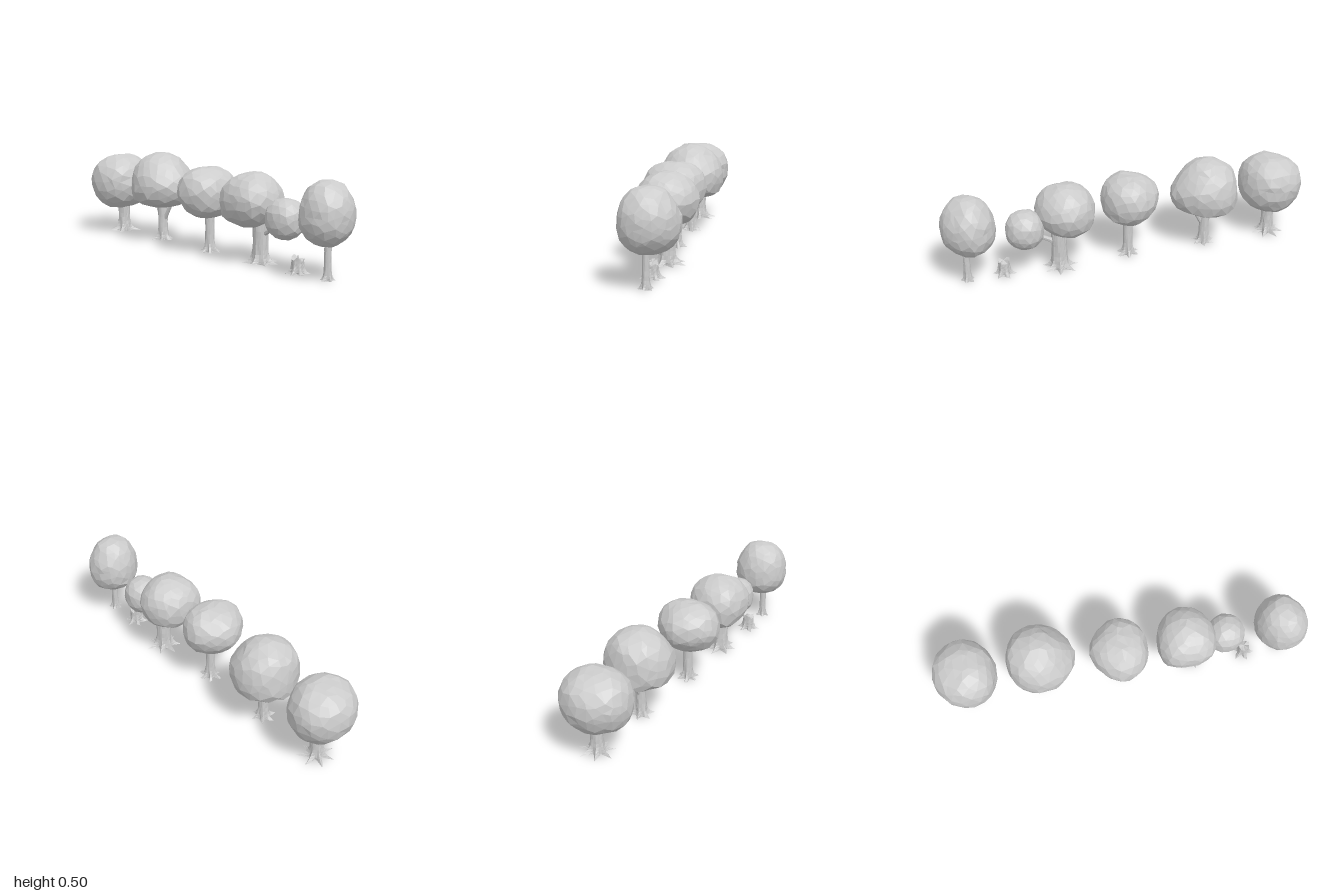
import * as THREE from 'three';

const material = new THREE.MeshStandardMaterial({ color: 0xcccccc, flatShading: true });
const UP = new THREE.Vector3(0, 1, 0);

// Repeatable noise in -1..1 from a position and a seed
function noise(x, y, z, seed) {
  const r = (v) => Math.round(v * 1000) / 1000 + 0.0001;
  const s = Math.sin(r(x) * 127.1 + r(y) * 311.7 + r(z) * 74.7 + seed * 19.19) * 43758.5453;
  return (s - Math.floor(s)) * 2 - 1;
}

// Linear lookup in a closed ring of values, t in turns
function ring(values, t) {
  const n = values.length;
  const f = (t - Math.floor(t)) * n;
  const i = Math.floor(f);
  return THREE.MathUtils.lerp(values[i % n], values[(i + 1) % n], f - i);
}

function toMesh(geometry, name) {
  const flat = geometry.index ? geometry.toNonIndexed() : geometry;
  flat.computeVertexNormals();
  const mesh = new THREE.Mesh(flat, material);
  mesh.name = name;
  return mesh;
}

function reshape(geometry, rule) {
  const pos = geometry.attributes.position;
  const v = new THREE.Vector3();
  for (let i = 0; i < pos.count; i++) {
    rule(v.fromBufferAttribute(pos, i));
    pos.setXYZ(i, v.x, v.y, v.z);
  }
  return geometry;
}

// Faceted foliage: side = radii (hundredths) round the profile from +z over the top,
// plan = radii round the vertical axis from +z towards +x
function crown(center, side, plan, seed, detail = 3) {
  const geometry = reshape(new THREE.IcosahedronGeometry(1, detail), (v) => {
    const { x, y, z } = v;
    v.x += 0.08 * noise(x, y, z, seed);
    v.y += 0.08 * noise(x, y, z, seed + 1);
    v.z += 0.08 * noise(x, y, z, seed + 2);
    v.normalize();
    const lat = Math.asin(v.y) / (2 * Math.PI);
    const lon = Math.atan2(v.x, v.z);
    const w = (1 + Math.cos(lon)) / 2;
    const profile = (t) => THREE.MathUtils.lerp(ring(side, 0.5 - t), ring(side, t), w);
    const spread = ring(plan, lon / (2 * Math.PI)) / profile(0);
    const k = THREE.MathUtils.lerp(1, spread, Math.cos(lat * 2 * Math.PI));
    v.multiplyScalar(0.01 * profile(lat) * k * (1.01 + 0.018 * noise(x, y, z, seed + 3)));
  });
  const mesh = toMesh(geometry, 'crown');
  mesh.position.set(...center);
  return mesh;
}

// Trunk with a star of tapering roots; jag roughens the top rim of a stump
function trunk({ x, z, height, radius, reach, roots, seed, jag = 0 }) {
  const geometry = new THREE.CylinderGeometry(1, 1, 1, roots * 4, 10);
  reshape(geometry, (v) => {
    const t = Math.pow(v.y + 0.5, 1.8);
    const y = t * height;
    const rim = Math.min(1, Math.hypot(v.x, v.z));
    const a = Math.atan2(v.x, v.z);
    const lobeAngle = a * roots + seed;
    const lobe = Math.pow((1 + Math.cos(lobeAngle)) / 2, 2);
    const index = Math.round(lobeAngle / (2 * Math.PI));
    const length = 0.85 + 0.2 * noise((index + roots) % roots, 0, 0, seed);
    const near = Math.exp(-y / 0.013);
    const swell = Math.exp(-y / 0.045);
    const body = radius * (1 + 0.35 * swell + 0.12 * t + 0.05 * noise(v.x, v.y, v.z, seed));
    const r = rim * (body + (reach - radius * 1.35) * length * lobe * near
      + radius * 0.3 * (lobe - 0.4) * swell);
    const spike = v.y > 0.49 ? jag * rim * noise(v.x, 0, v.z, seed + 5) : 0;
    v.set(r * Math.sin(a), y + spike, r * Math.cos(a));
  });
  const mesh = toMesh(geometry, jag ? 'stump' : 'trunk');
  mesh.position.set(x, 0, z);
  return mesh;
}

// Tapered limb between two points
function branch(from, to, r0, r1) {
  const a = new THREE.Vector3(...from);
  const d = new THREE.Vector3(...to).sub(a);
  const mesh = toMesh(new THREE.CylinderGeometry(r1, r0, d.length(), 7), 'branch');
  mesh.position.copy(a).addScaledVector(d, 0.5);
  mesh.quaternion.setFromUnitVectors(UP, d.normalize());
  return mesh;
}

function group(name, ...parts) {
  const g = new THREE.Group();
  g.name = name;
  g.add(...parts);
  return g;
}

export function createModel() {
  return group('treeRow',
    // Slim tree with an egg-shaped crown
    group('slimTree',
      crown([0.015, 0.315, 0.868],
        [13.5, 14, 15.5, 16.3, 15.5, 13.5, 13, 14.5, 15, 15.7, 15.5, 14.5],
        [13, 12.7, 14.8, 14.5, 14, 13.5, 14, 14], 1),
      trunk({ x: 0.008, z: 0.88, height: 0.22, radius: 0.016, reach: 0.045, roots: 5, seed: 1 })),

    // Broken stump
    trunk({ x: 0, z: 0.685, height: 0.078, radius: 0.025, reach: 0.068, roots: 6, seed: 2, jag: 0.014 }),

    // Thick tree with a side limb carrying a small second crown
    group('thickTree',
      crown([0.008, 0.323, 0.349],
        [16, 15, 14.2, 14, 14.2, 15.5, 16, 17, 15.2, 14.4, 14.3, 15.5],
        [15.5, 15.5, 16.5, 15.8, 15.5, 17.5, 15.5, 17], 11),
      crown([0.025, 0.25, 0.572],
        [10, 10.5, 10.5, 10, 10.5, 10.5, 10, 10.5, 10.5, 10.3, 10.5, 10.5],
        [10, 10, 10, 10, 10, 10.5, 10, 10], 21, 2),
      trunk({ x: 0.02, z: 0.39, height: 0.25, radius: 0.037, reach: 0.1, roots: 7, seed: 3 }),
      branch([0.02, 0.145, 0.4], [0.025, 0.22, 0.53], 0.015, 0.009)),

    // Middle tree
    group('middleTree',
      crown([-0.013, 0.318, -0.012],
        [16, 16.3, 15, 13.5, 14.5, 16, 16.3, 14.2, 13.5, 13.3, 14.2, 16.2],
        [14.8, 16.5, 17.3, 15.5, 16, 15, 17, 16], 31),
      trunk({ x: 0, z: 0.002, height: 0.24, radius: 0.023, reach: 0.07, roots: 6, seed: 4 })),

    // Forked tree with a slanting crown
    group('forkedTree',
      crown([0.01, 0.33, -0.425],
        [18.7, 15.5, 16, 16.3, 17.5, 19, 18.2, 20.5, 16, 14.3, 15.5, 19],
        [18, 17, 18, 18.5, 18, 18, 17.5, 17], 41),
      trunk({ x: 0.01, z: -0.437, height: 0.25, radius: 0.025, reach: 0.07, roots: 6, seed: 5 }),
      branch([0.01, 0.115, -0.425], [0.02, 0.215, -0.365], 0.013, 0.008),
      branch([0.01, 0.12, -0.45], [0, 0.215, -0.49], 0.013, 0.008)),

    // Broad tree at the back
    group('broadTree',
      crown([-0.008, 0.302, -0.828],
        [17, 17, 16.5, 15, 15.5, 17, 17, 17, 17, 15.5, 17.3, 18],
        [16, 16.8, 18, 18, 17, 17, 18, 17.5], 51),
      trunk({ x: 0.005, z: -0.823, height: 0.2, radius: 0.03, reach: 0.098, roots: 7, seed: 6 })));
}
